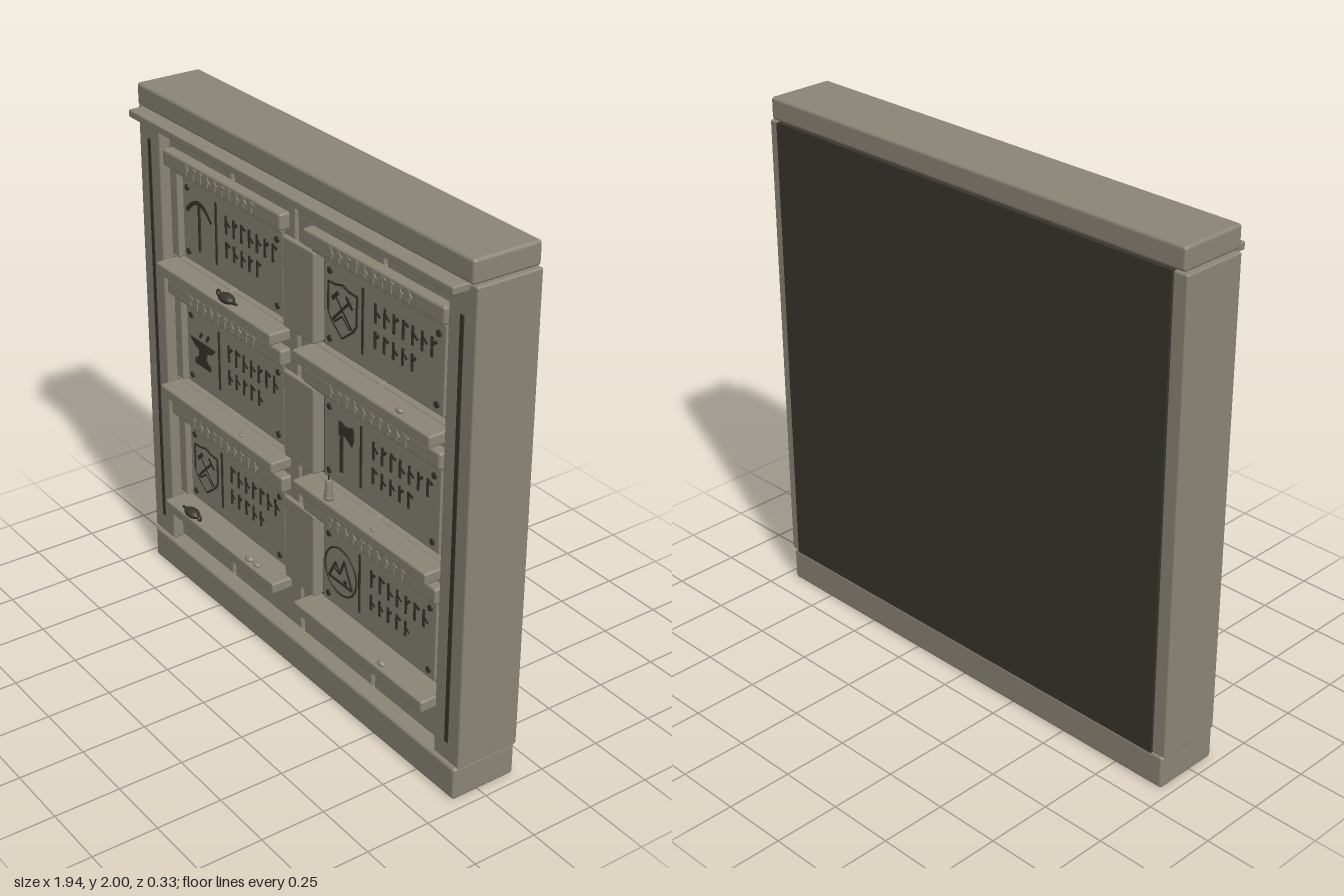
import * as THREE from 'three';
import { mergeGeometries } from 'three/addons/utils/BufferGeometryUtils.js';
import { RoundedBoxGeometry } from 'three/addons/geometries/RoundedBoxGeometry.js';

const stone = new THREE.MeshStandardMaterial({ color: 0x8a8576 });
stone.name = 'stone';
const dark = new THREE.MeshStandardMaterial({ color: 0x38362d });
dark.name = 'darkRecess';

const PLAQUE_Z = 0.05, LINTEL_Z = 0.1;

export function createModel() {
  const root = new THREE.Group();
  root.name = 'stoneNicheWall';

  const add = (name, geo, mat, x = 0, y = 0, z = 0, parent = root) => {
    const m = new THREE.Mesh(geo, mat);
    m.name = name;
    m.position.set(x, y, z);
    parent.add(m);
    return m;
  };
  // Bevelled stone block given by its limits
  const block = (name, x0, x1, y0, y1, z0, z1, r = 0.008, parent = root) =>
    add(name, new RoundedBoxGeometry(x1 - x0, y1 - y0, z1 - z0, 2, r), stone,
      (x0 + x1) / 2, (y0 + y1) / 2, (z0 + z1) / 2, parent);
  // Thin straight stroke between two points
  const bar = (x0, y0, x1, y1, w = 0.01, t = 0.006) => {
    const g = new THREE.BoxGeometry(Math.hypot(x1 - x0, y1 - y0), w, t);
    g.rotateZ(Math.atan2(y1 - y0, x1 - x0));
    return g.translate((x0 + x1) / 2, (y0 + y1) / 2, 0);
  };
  const polyline = (pts, w) =>
    pts.slice(1).map((p, i) => bar(pts[i][0], pts[i][1], p[0], p[1], w));
  const plate = pts => new THREE.ExtrudeGeometry(
    new THREE.Shape(pts.map(p => new THREE.Vector2(p[0], p[1]))),
    { depth: 0.006, bevelEnabled: false }).translate(0, 0, -0.003);
  const merge = list => mergeGeometries(list.map(g => (g.index ? g.toNonIndexed() : g)));

  // Dark core: back panel and the recess behind the masonry
  add('backPanel', new THREE.BoxGeometry(1.84, 1.78, 0.195), dark, 0, 1.025, -0.0675);

  // Main frame
  block('plinth', -0.963, 0.957, 0, 0.13, -0.155, 0.11, 0.012);
  block('capStone', -0.963, 0.957, 1.915, 2, -0.155, 0.11, 0.012);
  block('cornice', -0.935, 0.93, 1.888, 1.917, 0.04, 0.165, 0.006);
  for (const [name, x0, x1, slot] of [['rightPost', -0.975, -0.836, -0.905], ['leftPost', 0.832, 0.967, 0.9]]) {
    block(name, x0, x1, 0.132, 1.913, -0.155, 0.1);
    add(name + 'Groove', new THREE.BoxGeometry(0.018, 1.59, 0.006), dark, slot, 1.005, 0.1);
  }

  // Brick courses: bottom, top, and joint positions
  const courses = [
    [0.145, 0.335, [-0.46, 0, 0.435]],
    [0.68, 0.85, [-0.44, -0.01, 0.45]],
    [1.19, 1.36, [-0.435, -0.015, 0.455]],
    [1.7, 1.9, [-0.415, -0.028, 0.465]],
  ];
  for (const [y0, y1, joints] of courses) {
    const xs = [-0.845, ...joints, 0.842];
    for (let i = 0; i < 4; i++)
      block('wallBrick', xs[i] + 0.009, xs[i + 1] - 0.009, y0, y1, 0, 0.06, 0.005);
  }

  // Pictograms, each centred on its own origin
  const shield = () => [
    ...polyline([[-0.08, 0.085], [-0.035, 0.087], [0, 0.098], [0.035, 0.087], [0.08, 0.085],
      [0.08, -0.02], [0.06, -0.05], [0, -0.097], [-0.06, -0.05], [-0.08, -0.02], [-0.08, 0.085]], 0.007),
    ...[-1, 1].flatMap(s => [
      bar(-0.055 * s, -0.045, 0.04 * s, 0.05, 0.009),
      bar(0.022 * s, 0.065, 0.057 * s, 0.03, 0.014)]),
    ...polyline([[-0.045, -0.05], [0, -0.015], [0.045, -0.05]], 0.007),
  ];
  const arc = Array.from({ length: 9 }, (_, i) => {
    const u = i / 4 - 1;
    return [u * 0.082, 0.088 - 0.05 * u * u];
  });
  const pickaxe = () => [bar(0, -0.1, 0, 0.085, 0.012), ...polyline(arc, 0.015)];
  const anvil = () => [
    plate([[-0.085, 0.038], [-0.055, 0.012], [-0.025, 0.002], [-0.025, -0.022], [-0.052, -0.04],
      [-0.052, -0.062], [0.052, -0.062], [0.052, -0.04], [0.025, -0.022], [0.025, 0.002],
      [0.06, 0.012], [0.085, 0.038]]),
    bar(-0.02, 0.055, -0.002, 0.08, 0.01), bar(0.025, 0.055, 0.045, 0.085, 0.01)];
  const axe = () => [
    bar(0, -0.1, 0, 0.095, 0.015),
    plate([[-0.015, 0.04], [0.02, 0.05], [0.06, 0.025], [0.072, 0.06], [0.066, 0.1],
      [0.03, 0.088], [-0.015, 0.097]])];
  const mountain = () => [
    new THREE.TorusGeometry(0.094, 0.004, 6, 40),
    ...polyline([[-0.07, -0.045], [-0.028, 0.03], [-0.005, -0.01], [0.022, 0.055], [0.07, -0.045], [-0.07, -0.045]], 0.009),
    ...polyline([[-0.038, 0.005], [-0.02, -0.005], [-0.005, -0.01]], 0.007),
    bar(0.02, -0.03, 0.035, -0.03, 0.015)];

  // Row of abstract chisel notches
  const notches = (n, x, y, pitch, h, w, seed) => {
    const out = [];
    for (let i = 0; i < n; i++) {
      const k = (i * 3 + seed) % 4, px = x + i * pitch;
      const ty = y + h * [0.42, 0.1, 0.3, 0.15][k], tip = [-0.12, 0.3, -0.3, -0.25][k] * h;
      out.push(bar(px, y - h / 2, px, y + h / 2, w), bar(px, ty, px + h * 0.36, ty + tip, w));
    }
    return out;
  };

  // Niches: lintel, shelf, plaque, pictogram and notches
  const icons = [[shield, mountain], [anvil, axe], [pickaxe, shield]];
  icons.forEach((row, r) => {
    const cy = 0.513 + r * 0.509;
    block('centreBlock', -0.093, 0.09, cy - 0.17, cy + 0.17, 0, 0.075);
    block('rightJamb', -0.838, -0.79, cy - 0.17, cy + 0.17, 0, 0.06, 0.005);
    block('leftJamb', 0.785, 0.834, cy - 0.17, cy + 0.17, 0, 0.06, 0.005);
    row.forEach((icon, c) => {
      const g = new THREE.Group();
      g.name = 'niche';
      g.position.y = cy;
      root.add(g);
      const [a, b] = c ? [0.117, 0.765] : [-0.768, -0.125];
      const [la, lb] = c ? [0.06, 0.815] : [-0.82, -0.07];
      block('lintel', la, lb, 0.195, 0.258, 0, LINTEL_Z, 0.01, g);
      block('lintelLip', la + 0.025, lb - 0.025, 0.176, 0.2, 0, 0.08, 0.005, g);
      block('shelf', la, lb, -0.22, -0.175, 0, 0.145, 0.008, g);
      block('plaque', a, b, -0.16, 0.162, 0, PLAQUE_Z, 0.005, g);
      const studs = [];
      for (const x of [a + 0.036, b - 0.032]) for (const y of [-0.124, 0.126])
        studs.push(new THREE.CylinderGeometry(0.012, 0.012, 0.009, 12).rotateX(Math.PI / 2).translate(x, y, 0));
      add('plaqueStuds', merge(studs), dark, 0, 0, PLAQUE_Z + 0.002, g);
      add('pictogram', merge(icon()), dark, c ? 0.225 : -0.655, 0, PLAQUE_Z + 0.002, g);
      add('plaqueDivider', bar(0, -0.11, 0, 0.13, 0.01), dark, c ? 0.336 : -0.544, 0, PLAQUE_Z + 0.001, g);
      const tx = c ? 0.405 : -0.478;
      add('plaqueNotches', merge([
        ...notches(7, tx, 0.066, 0.049, 0.07, 0.011, r + c),
        ...notches(5, tx, -0.03, 0.049, 0.062, 0.011, r + c + 2)]), dark, 0, 0, PLAQUE_Z + 0.001, g);
      add('lintelNotches', merge(notches(10, c ? 0.225 : -0.655, 0.225, 0.046, 0.042, 0.008, r + c)),
        stone, 0, 0, LINTEL_Z + 0.001, g);
    });
  });

  // Small oil lamps lying on the shelves
  for (const [x, y, flip] of [[-0.36, 1.378, 1], [-0.64, 0.358, -1]]) {
    const lamp = new THREE.Group();
    lamp.name = 'oilLamp';
    lamp.position.set(x, y, 0.132);
    lamp.scale.x = 1;
    lamp.rotation.y = flip > 0 ? 0 : Math.PI;
    root.add(lamp);
    add('lampBody', new THREE.SphereGeometry(1, 20, 12).scale(0.042, 0.018, 0.025), dark, 0, 0.002, 0, lamp);
    add('lampSpout', new THREE.CylinderGeometry(0.004, 0.011, 0.045, 10).rotateZ(-Math.PI / 2), dark, 0.044, 0, 0, lamp);
    add('lampHandle', new THREE.TorusGeometry(0.013, 0.004, 6, 16), dark, -0.048, 0.003, 0, lamp);
  }

  // Candle on the middle shelf
  const candle = new THREE.LatheGeometry([[0, 0], [0.019, 0], [0.019, 0.01], [0.014, 0.014],
    [0.014, 0.07], [0.009, 0.076], [0, 0.076]].map(p => new THREE.Vector2(...p)), 16);
  add('candle', candle, stone, 0.242, 0.846, 0.118);
  add('candleWick', new THREE.CylinderGeometry(0.003, 0.003, 0.022, 6), dark, 0.242, 0.932, 0.118);

  // Pebbles on the shelves
  for (const [x, y, s] of [[0.63, 1.362, 0.018], [-0.26, 0.343, 0.022], [-0.21, 0.343, 0.018],
    [0.56, 0.343, 0.02], [-0.3, 0.852, 0.012], [0.5, 0.852, 0.012]])
    add('pebble', new THREE.IcosahedronGeometry(1, 1).scale(s, s * 0.5, s * 0.7), stone, x, y, 0.12);

  return root;
}
